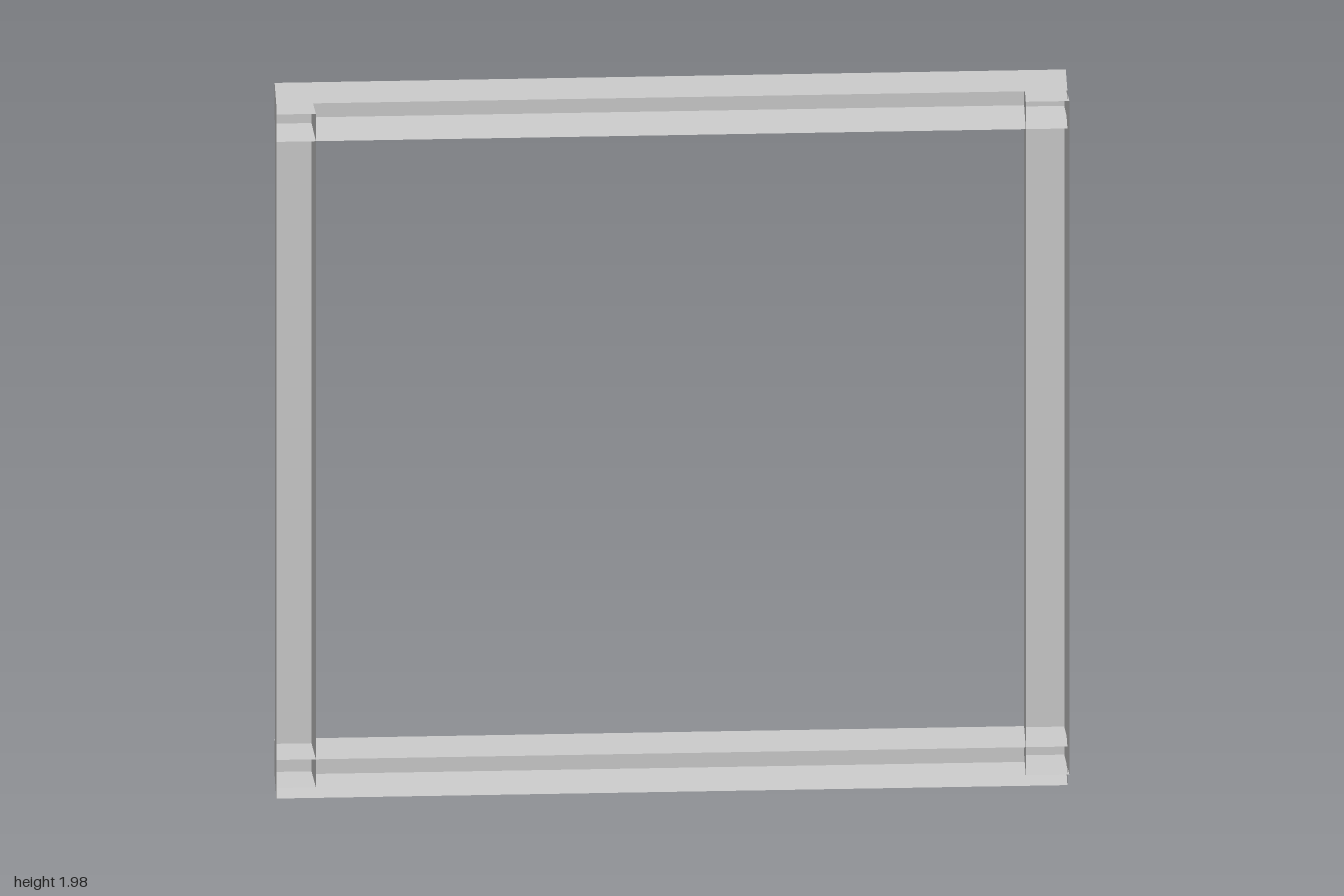
import * as THREE from 'three';

const material = new THREE.MeshStandardMaterial({
  color: 0xcccccc, flatShading: true, side: THREE.DoubleSide,
});
const FRONT = 0.057;

// Thin-walled channel, open to the front; flareX / flareY shift one wall's front edge
function channel(name, x0, x1, y0, y1, back, flareX, flareY) {
  const geo = new THREE.BoxGeometry(1, 1, 1);
  const p = geo.attributes.position;
  for (let i = 0; i < p.count; i++) {
    const front = p.getZ(i) > 0;
    const x = p.getX(i) > 0 ? x1 + (front ? flareX : 0) : x0;
    const y = p.getY(i) > 0 ? y1 : y0 - (front ? flareY : 0);
    p.setXYZ(i, x, y, front ? FRONT : back);
  }
  // Drop the front face (fifth of the six box sides)
  const index = Array.from(geo.index.array);
  index.splice(24, 6);
  geo.setIndex(index);
  geo.clearGroups();
  geo.computeVertexNormals();
  const mesh = new THREE.Mesh(geo, material);
  mesh.name = name;
  return mesh;
}

export function createModel() {
  const frame = new THREE.Group();
  frame.name = 'frame';

  // Horizontal rails, lower wall flaring down towards the front
  frame.add(channel('bottomRail', -1, 0.995, 0.008, 0.11, -0.057, 0, 0.008));
  frame.add(channel('topRail', -1, 0.995, 1.88, 1.98, -0.057, 0, 0.008));

  // Upright posts, ending inside the rails
  frame.add(channel('rightPost', -1, -0.908, 0.03, 1.95, -0.03, 0.008, 0));
  frame.add(channel('leftPost', 0.89, 0.991, 0.03, 1.95, -0.051, 0.009, 0));

  return frame;
}
